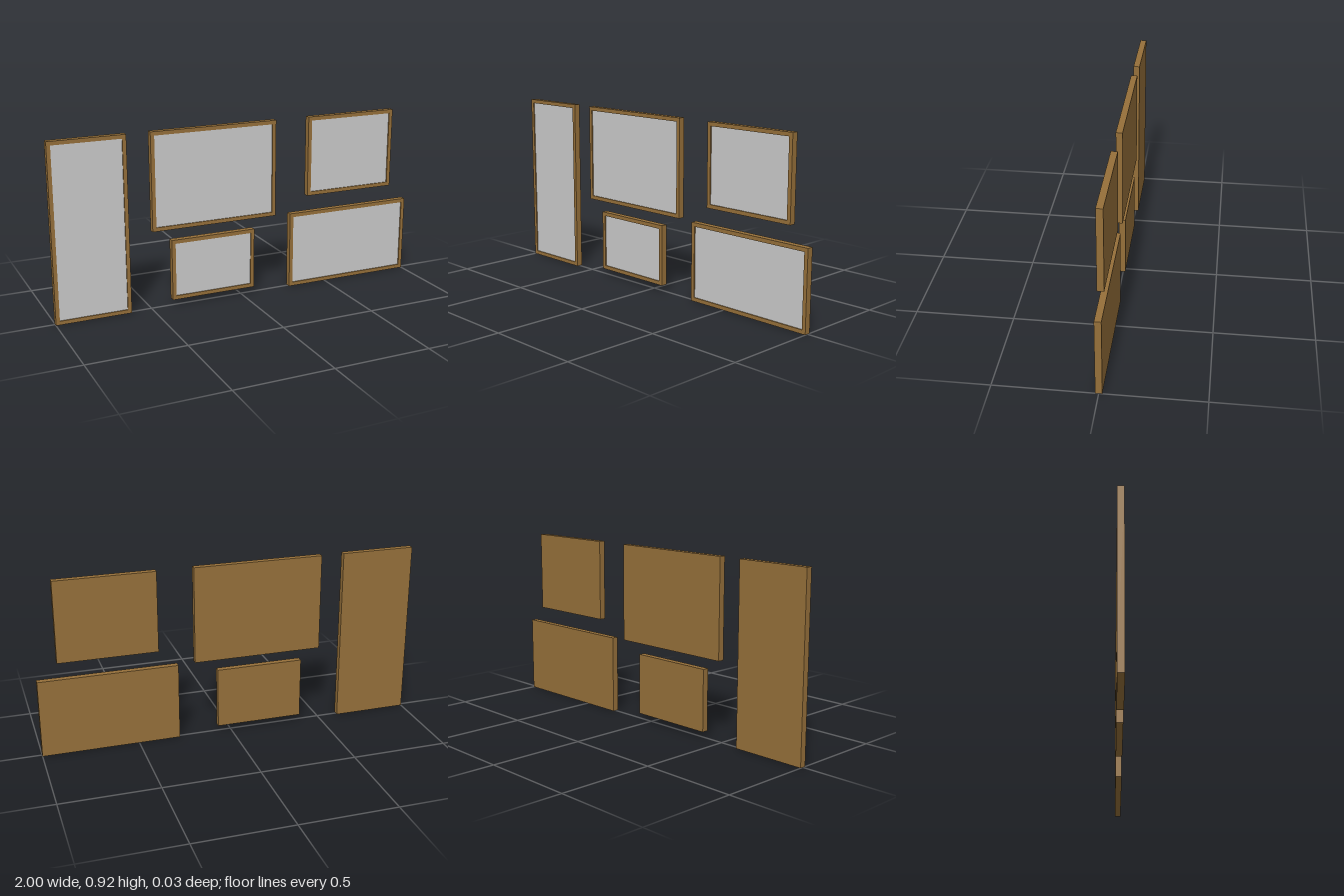
import * as THREE from 'three';

const DEPTH = 0.033, BORDER = 0.02, RECESS = 0.006;
const wood = new THREE.MeshStandardMaterial({ color: 0x96703a });
const grey = new THREE.MeshStandardMaterial({ color: 0xcccccc });

// One picture: a wooden surround, a closed wooden back and a recessed panel
function pictureFrame(name, x0, x1, y0, y1) {
  const w = x1 - x0, h = y1 - y0;
  const iw = w - 2 * BORDER, ih = h - 2 * BORDER;
  const group = new THREE.Group();
  group.name = name;
  group.position.set((x0 + x1) / 2, (y0 + y1) / 2, 0);

  const rect = (P, a, b) => new P([[-a, -b], [a, -b], [a, b], [-a, b]]
    .map(([x, y]) => new THREE.Vector2(x / 2, y / 2)));
  const outline = rect(THREE.Shape, w, h);
  outline.holes.push(rect(THREE.Path, iw, ih));
  const surround = new THREE.Mesh(
    new THREE.ExtrudeGeometry(outline, { depth: DEPTH, bevelEnabled: false }), wood);
  surround.name = 'surround';
  surround.position.z = -DEPTH / 2;

  // Backing board fills the opening from behind
  const boardDepth = DEPTH - RECESS - 0.002;
  const board = new THREE.Mesh(new THREE.BoxGeometry(iw, ih, boardDepth), wood);
  board.name = 'backingBoard';
  board.position.z = (boardDepth - DEPTH) / 2;

  const panel = new THREE.Mesh(new THREE.BoxGeometry(iw, ih, 0.002), grey);
  panel.name = 'picturePanel';
  panel.position.z = DEPTH / 2 - RECESS - 0.001;

  group.add(surround, board, panel);
  return group;
}

export function createModel() {
  const model = new THREE.Group();
  model.name = 'galleryWall';
  // name, left edge, right edge, bottom, top
  [
    ['tallFrame', -1, -0.61, 0, 0.92],
    ['upperMiddleFrame', -0.488, 0.194, 0.411, 0.92],
    ['lowerMiddleFrame', -0.388, 0.072, 0.032, 0.353],
    ['upperEndFrame', 0.383, 0.896, 0.496, 0.92],
    ['lowerEndFrame', 0.282, 1, 0, 0.408],
  ].forEach((f) => model.add(pictureFrame(...f)));
  return model;
}
